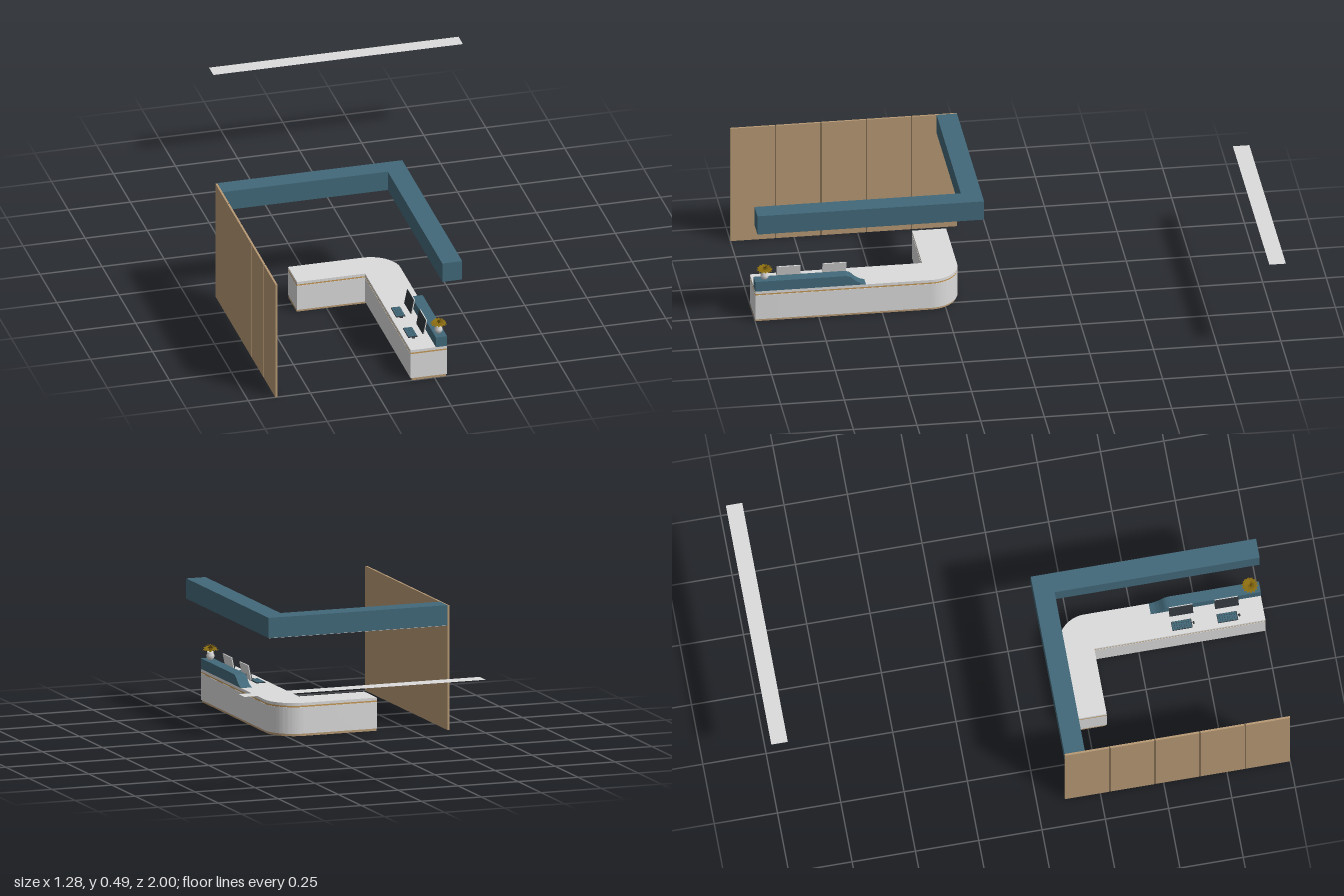
import * as THREE from 'three';
import { toCreasedNormals } from 'three/addons/utils/BufferGeometryUtils.js';

const mat = (name, color, side = THREE.FrontSide) => {
  const m = new THREE.MeshStandardMaterial({ color, side });
  m.name = name;
  return m;
};

export function createModel() {
  const white = mat('white', 0xdcdcdc, THREE.DoubleSide);
  const teal = mat('teal', 0x42697a);
  const wood = mat('wood', 0xb89a75);
  const seam = mat('dark seam', 0x4a3b2a);
  const gold = mat('gold trim', 0xc79a58);
  const dark = mat('dark grey', 0x33383c);
  const leaf = mat('olive leaf', 0x8a6c10, THREE.DoubleSide);

  const model = new THREE.Group();
  model.name = 'receptionArea';

  const add = (name, geometry, material, parent = model) => {
    const mesh = new THREE.Mesh(geometry, material);
    mesh.name = name;
    parent.add(mesh);
    return mesh;
  };
  // Box given by its limits on each axis
  const box = (name, material, [x0, x1], [y0, y1], [z0, z1], parent) => {
    const mesh = add(name, new THREE.BoxGeometry(x1 - x0, y1 - y0, z1 - z0), material, parent);
    mesh.position.set((x0 + x1) / 2, (y0 + y1) / 2, (z0 + z1) / 2);
    return mesh;
  };
  // L-shaped plan (long arm along z, short arm along x), extruded from y0 to y1
  const lSlab = (name, material, p, y0, y1) => {
    const s = new THREE.Shape();
    s.moveTo(p.left, -p.back);
    s.lineTo(p.left, -p.armFront);
    s.lineTo(p.inner, -p.armFront);
    s.lineTo(p.inner, -p.front);
    s.lineTo(p.right, -p.front);
    if (p.r) {
      s.lineTo(p.right, -p.back - p.r);
      s.absarc(p.right - p.r, -p.back - p.r, p.r, 0, Math.PI / 2, false);
    } else {
      s.lineTo(p.right, -p.back);
    }
    s.closePath();
    let g = new THREE.ExtrudeGeometry(s, { depth: y1 - y0, bevelEnabled: false, curveSegments: 20 });
    g = toCreasedNormals(g.rotateX(-Math.PI / 2).translate(0, y0, 0), 0.5);
    return add(name, g, material);
  };

  // Side wall of five wooden panels over a dark core
  box('wallCore', seam, [-0.639, -0.634], [0.001, 0.492], [0.112, 0.998]);
  const panel = 0.89 / 5;
  for (let i = 0; i < 5; i++) {
    const z = 0.11 + i * panel;
    box('wallPanel', wood, [-0.641, -0.633], [0, 0.493],
      [z + (i ? 0.0015 : 0), z + panel - (i < 4 ? 0.0015 : 0)]);
  }

  // Overhead beam with a pale underside, and the separate ceiling strip
  lSlab('overheadBeam', teal,
    { left: -0.633, right: 0.112, back: 0.11, armFront: 0.19, inner: 0.032, front: 1 }, 0.414, 0.494);
  lSlab('beamUnderside', white,
    { left: -0.63, right: 0.107, back: 0.115, armFront: 0.185, inner: 0.037, front: 0.995 }, 0.412, 0.4145);
  const strip = add('ceilingStrip', new THREE.PlaneGeometry(1.005, 0.065).rotateX(-Math.PI / 2), white);
  strip.position.set(0.1375, 0.412, -0.9675);

  // Counter: plinth, body, trim line and top, all with one rounded corner
  const plan = (inset) => ({
    left: -0.37, right: 0.051 - inset, back: 0.19 + inset,
    armFront: 0.324 - inset, inner: -0.096 + inset, front: 1 - inset * 0.2, r: 0.12 - inset,
  });
  lSlab('counterPlinth', wood, plan(0.005), 0, 0.01);
  lSlab('counterBody', white, plan(0), 0.01, 0.115);
  lSlab('counterTrim', gold, plan(0.001), 0.115, 0.121);
  lSlab('counterTop', white, plan(0), 0.121, 0.132);

  // Raised ledge with a sloping, curved end
  const ledge = new THREE.Shape();
  ledge.moveTo(-1, 0.132);
  ledge.lineTo(-0.565, 0.132);
  ledge.quadraticCurveTo(-0.595, 0.138, -0.615, 0.16);
  ledge.quadraticCurveTo(-0.628, 0.174, -0.65, 0.174);
  ledge.lineTo(-1, 0.174);
  ledge.closePath();
  const ledgeGeo = new THREE.ExtrudeGeometry(ledge, { depth: 0.045, bevelEnabled: false, curveSegments: 8 });
  add('raisedLedge', toCreasedNormals(ledgeGeo.rotateY(Math.PI / 2), 0.5), teal).position.x = 0.006;

  // Two workstations, each with a tilted monitor and a keyboard
  for (const z of [0.681, 0.861]) {
    const station = new THREE.Group();
    station.name = 'workstation';
    station.position.z = z;
    model.add(station);

    const monitor = new THREE.Group();
    monitor.name = 'monitor';
    monitor.position.set(-0.013, 0.176, 0);
    monitor.rotation.z = -0.2;
    station.add(monitor);
    box('monitorBack', white, [-0.001, 0.003], [-0.03, 0.03], [-0.047, 0.047], monitor);
    box('monitorScreen', dark, [-0.004, -0.001], [-0.03, 0.03], [-0.047, 0.047], monitor);
    box('monitorArm', dark, [-0.014, 0.007], [0.158, 0.164], [-0.007, 0.007], station);

    box('keyboardTray', dark, [-0.077, -0.04], [0.132, 0.135], [-0.045, 0.035], station);
    for (let r = 0; r < 4; r++) {
      for (let c = 0; c < 8; c++) {
        const x = -0.0755 + r * 0.0087, k = -0.0435 + c * 0.0096;
        box('key', teal, [x, x + 0.0078], [0.135, 0.137], [k, k + 0.0086], station);
      }
    }
    const mouse = add('mouse', new THREE.SphereGeometry(0.006, 12, 8), dark, station);
    mouse.position.set(-0.058, 0.134, 0.042);
    mouse.scale.set(1.2, 0.6, 0.7);
  }

  // Potted plant: lathed pot and a dome of curved leaves
  const plant = new THREE.Group();
  plant.name = 'plant';
  plant.position.set(0.027, 0.174, 0.96);
  model.add(plant);
  const profile = [[0, 0], [0.009, 0], [0.015, 0.008], [0.016, 0.018], [0.012, 0.028], [0.013, 0.033], [0, 0.031]];
  add('pot', new THREE.LatheGeometry(profile.map(([x, y]) => new THREE.Vector2(x, y)), 20), white, plant);
  add('stem', new THREE.CylinderGeometry(0.005, 0.007, 0.012, 8), leaf, plant).position.y = 0.035;

  const leafGeo = new THREE.PlaneGeometry(1, 1, 4, 4).rotateX(-Math.PI / 2).translate(0.5, 0, 0);
  const p = leafGeo.attributes.position;
  for (let i = 0; i < p.count; i++) {
    const t = p.getX(i);
    p.setZ(i, p.getZ(i) * 0.55 * Math.sin(Math.PI * (0.08 + 0.9 * t)));
    p.setY(i, 0.3 * t * (1 - t) - 0.15 * t * t);
  }
  leafGeo.computeVertexNormals();
  const rings = [[14, 0.033, 0.2], [12, 0.03, 0.45], [9, 0.026, 0.75], [6, 0.023, 1.15]];
  rings.forEach(([count, size, lift], ring) => {
    for (let i = 0; i < count; i++) {
      const blade = add('leaf', leafGeo, leaf, plant);
      blade.position.y = 0.037 + ring * 0.001;
      blade.scale.setScalar(size);
      blade.rotation.set(0, (i + ring * 0.4) / count * Math.PI * 2, lift);
    }
  });

  return model;
}
